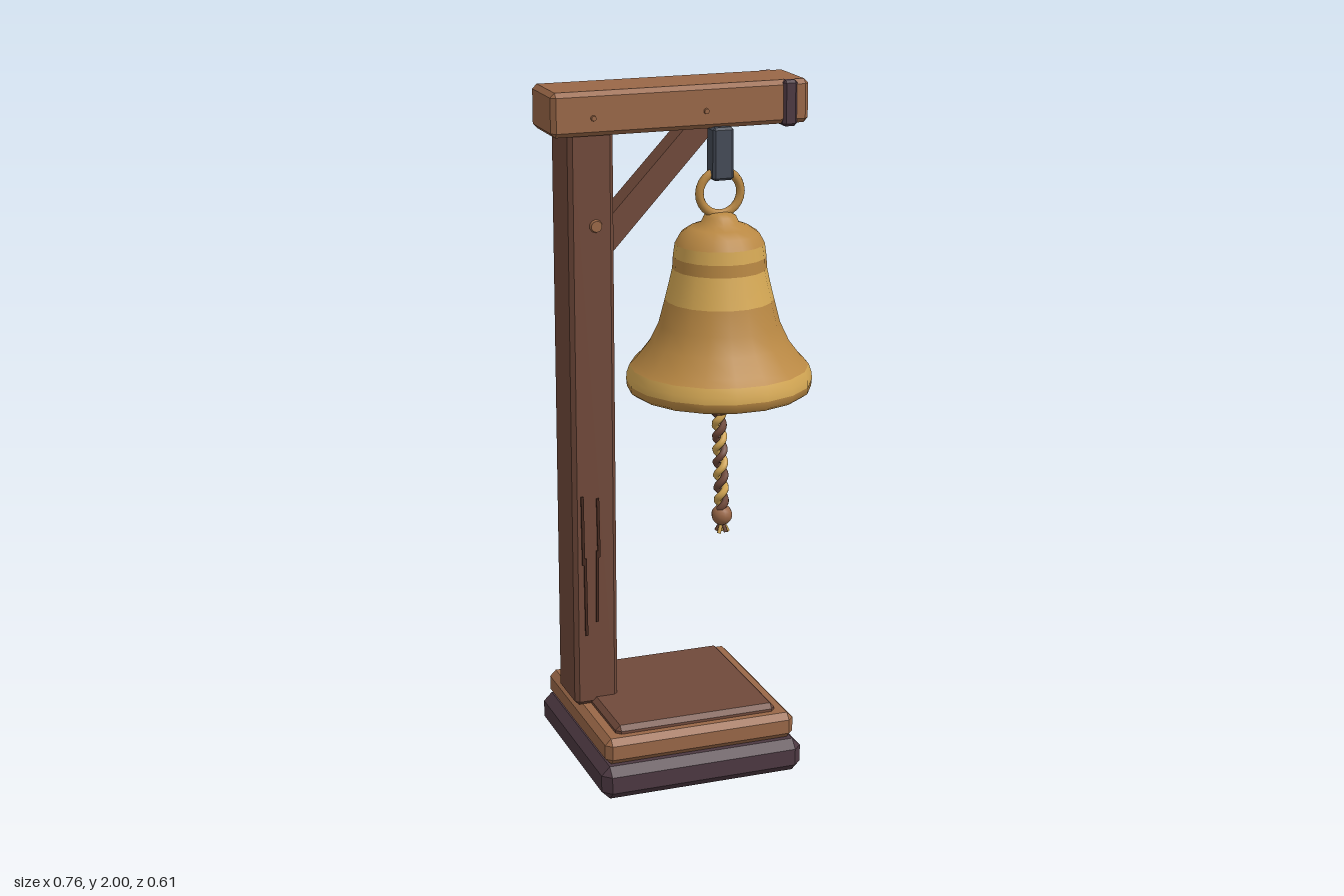
import * as THREE from 'three';
import { ConvexGeometry } from 'three/addons/geometries/ConvexGeometry.js';

const mat = (name, color) => Object.assign(new THREE.MeshStandardMaterial({ color }), { name });

// Box with bevelled edges, given by its limits on each axis
function bevelBox([x0, x1], [y0, y1], [z0, z1], b) {
  const h = [(x1 - x0) / 2, (y1 - y0) / 2, (z1 - z0) / 2];
  const pts = [];
  for (const sx of [-1, 1]) for (const sy of [-1, 1]) for (const sz of [-1, 1])
    for (let axis = 0; axis < 3; axis++) {
      const p = h.map((v, i) => (i === axis ? v : v - b));
      pts.push(new THREE.Vector3(p[0] * sx, p[1] * sy, p[2] * sz));
    }
  return new ConvexGeometry(pts).translate((x0 + x1) / 2, (y0 + y1) / 2, (z0 + z1) / 2);
}

export function createModel() {
  const group = new THREE.Group();
  group.name = 'bellStand';
  const postWood = mat('post wood', 0x70493a);
  const beamWood = mat('beam wood', 0x996747);
  const darkWood = mat('dark plum wood', 0x4c3841);
  const iron = mat('slate iron', 0x444a56);
  const gold = mat('bell gold', 0xb98843);
  const paleGold = mat('pale gold', 0xd6a955);
  const groove = mat('groove brown', 0x45291f);

  const add = (name, geo, material, parent = group) => {
    const m = new THREE.Mesh(geo, material);
    m.name = name;
    parent.add(m);
    return m;
  };

  // Stepped base
  add('baseFoot', bevelBox([-0.34, 0.275], [0, 0.1], [-0.307, 0.305], 0.025), darkWood);
  add('baseStep', bevelBox([-0.323, 0.257], [0.1, 0.178], [-0.287, 0.281], 0.018), beamWood);
  add('baseTop', bevelBox([-0.28, 0.213], [0.16, 0.2], [-0.246, 0.243], 0.014), postWood);

  // Post, beam and end band
  add('post', bevelBox([-0.33, -0.198], [0.178, 1.89], [-0.15, 0.014], 0.012), postWood);
  add('beam', bevelBox([-0.384, 0.376], [1.876, 2], [-0.154, 0.039], 0.013), beamWood);
  add('beamBand', bevelBox([0.295, 0.338], [1.869, 2], [-0.159, 0.046], 0.008), darkWood);

  // Diagonal brace
  const brace = new THREE.Shape([[-0.205, 1.5], [0.148, 1.88], [0.05, 1.88], [-0.205, 1.61]]
    .map(p => new THREE.Vector2(...p)));
  add('brace', new THREE.ExtrudeGeometry(brace, { depth: 0.075, bevelEnabled: false })
    .translate(0, 0, -0.13), postWood);

  // Pegs on the front faces
  for (const [x, y, z, r] of [[-0.253, 1.62, 0.014, 0.02], [-0.265, 1.927, 0.037, 0.009], [0.065, 1.927, 0.037, 0.009]])
    add('peg', new THREE.CylinderGeometry(r * 0.8, r, 0.012, 10).rotateX(Math.PI / 2).translate(x, y, z + 0.003), beamWood);

  // Carved grain lines on the post: x, lower y, upper y, lean
  for (const [x, y0, y1, lean] of [[-0.296, 0.4, 0.64, 0.01], [-0.303, 0.62, 0.83, 0.01],
    [-0.261, 0.44, 0.66, -0.01], [-0.256, 0.64, 0.82, 0.015]])
    add('grainLine', new THREE.BoxGeometry(0.008, y1 - y0, 0.006).rotateZ(lean)
      .translate(x, (y0 + y1) / 2, 0.016), groove);

  // Hanger and bell share one axis
  const bell = new THREE.Group();
  bell.name = 'bell';
  bell.position.set(0.112, 0, 0.025);
  group.add(bell);
  add('hanger', bevelBox([-0.031, 0.031], [1.73, 1.88], [-0.028, 0.03], 0.007), iron, bell);
  add('hangingRing', new THREE.TorusGeometry(0.062, 0.013, 8, 24).translate(0, 1.692, 0), gold, bell);

  // Bell wall as turned bands, each listed from low to high
  const bands = [
    ['bellLip', gold, [[0.252, 1.115], [0.266, 1.125], [0.268, 1.145]]],
    ['bellRimBand', paleGold, [[0.268, 1.145], [0.267, 1.165], [0.258, 1.19]]],
    ['bellBody', gold, [[0.258, 1.19], [0.238, 1.21], [0.2, 1.26], [0.174, 1.315], [0.156, 1.385]]],
    ['bellWaistBand', paleGold, [[0.156, 1.385], [0.145, 1.43], [0.135, 1.475]]],
    ['bellCollar', gold, [[0.135, 1.475], [0.133, 1.51]]],
    ['bellShoulderBand', paleGold, [[0.133, 1.51], [0.128, 1.547]]],
    ['bellCrown', gold, [[0.128, 1.547], [0.112, 1.576], [0.085, 1.594], [0.055, 1.605], [0.046, 1.625], [0.03, 1.635], [0, 1.637]]],
    ['bellUnderside', gold, [[0, 1.125], [0.235, 1.12], [0.252, 1.115]]],
  ];
  for (const [name, material, pts] of bands)
    add(name, new THREE.LatheGeometry(pts.map(p => new THREE.Vector2(...p)), 18, Math.PI / 2),
      material, bell);

  // Clapper
  add('clapper', new THREE.SphereGeometry(0.064, 16, 12).translate(0, 1.1, 0), beamWood, bell);

  // Twisted pull rope of two strands, drifting slightly sideways
  const drift = y => 0.012 * (1.05 - y) / 0.35;
  [paleGold, postWood].forEach((material, s) => {
    const pts = [];
    for (let i = 0; i <= 48; i++) {
      const t = i / 48, y = 1.05 - 0.31 * t, a = t * Math.PI * 8 + s * Math.PI;
      pts.push(new THREE.Vector3(drift(y) + 0.012 * Math.cos(a), y, 0.012 * Math.sin(a)));
    }
    add('ropeStrand', new THREE.TubeGeometry(new THREE.CatmullRomCurve3(pts), 96, 0.011, 6), material, bell);
  });
  add('ropeKnot', new THREE.SphereGeometry(0.031, 12, 10).translate(drift(0.728), 0.728, 0), beamWood, bell);

  // Frayed rope end
  for (let i = 0; i < 5; i++) {
    const a = i * Math.PI * 0.4;
    const end = new THREE.Vector3(0.012 + 0.018 * Math.cos(a), 0.674 + 0.004 * (i % 2), 0.018 * Math.sin(a));
    const line = new THREE.LineCurve3(new THREE.Vector3(0.012, 0.71, 0), end);
    add('tassel', new THREE.TubeGeometry(line, 1, 0.006, 5), i % 2 ? postWood : paleGold, bell);
  }
  return group;
}
